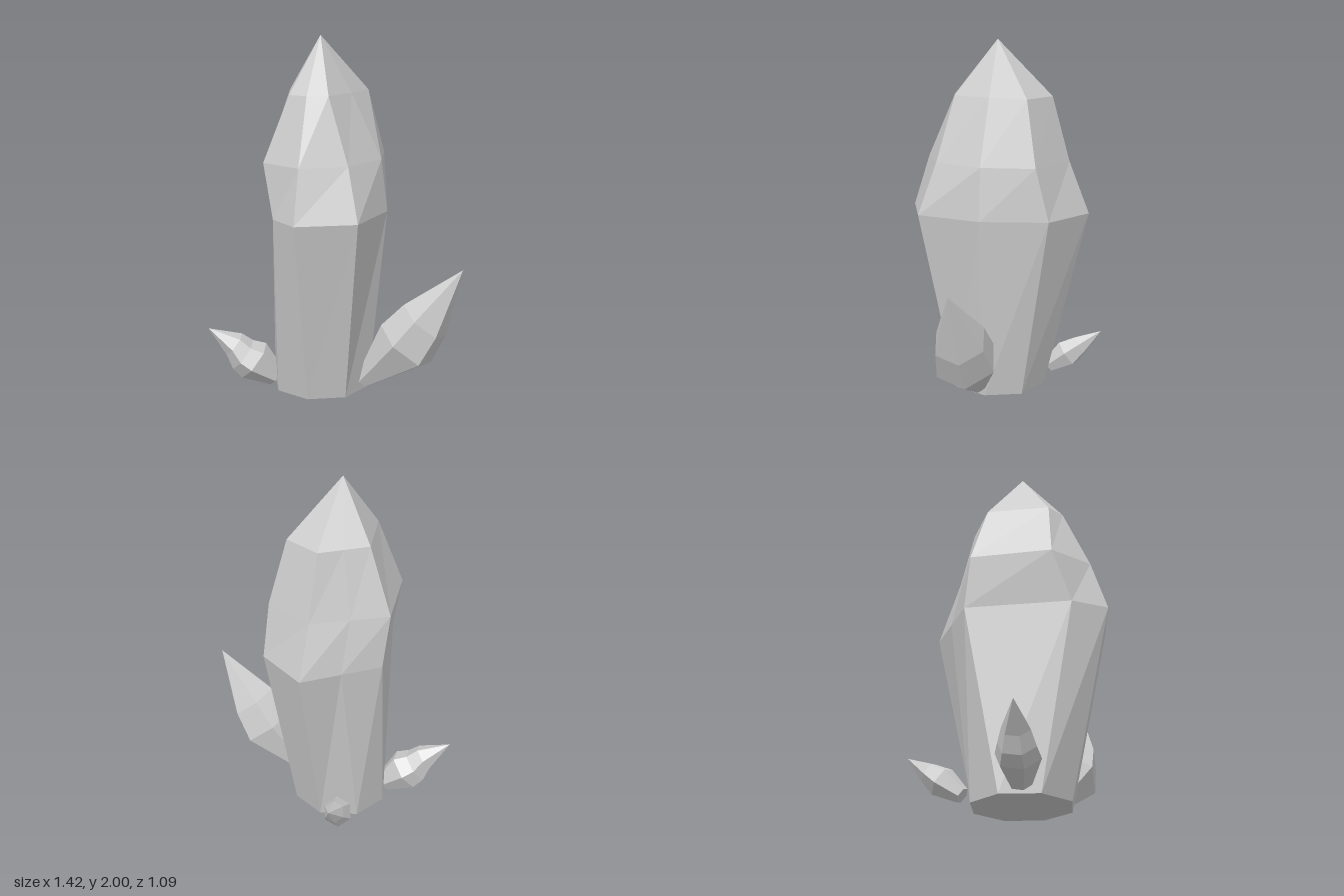
import * as THREE from 'three';

const V = (x, y, z) => new THREE.Vector3(x, y, z);
const material = new THREE.MeshStandardMaterial({ color: 0xcccccc, flatShading: true });

// Faceted crystal: rings of points joined in order, closed by a flat base and a tip
function crystal(name, rings, tip) {
  const pos = [];
  const tri = (...pts) => pts.forEach((p) => pos.push(p.x, p.y, p.z));
  const n = rings[0].length;
  const centre = rings[0].reduce((s, p) => s.add(p), V(0, 0, 0)).divideScalar(n);
  for (let i = 0; i < n; i++) {
    const j = (i + 1) % n;
    tri(centre, rings[0][j], rings[0][i]);
    for (let k = 0; k < rings.length - 1; k++) {
      const a = rings[k], b = rings[k + 1];
      tri(a[i], a[j], b[j]);
      tri(a[i], b[j], b[i]);
    }
    const top = rings[rings.length - 1];
    tri(top[i], top[j], tip);
  }
  const geometry = new THREE.BufferGeometry();
  geometry.setAttribute('position', new THREE.Float32BufferAttribute(pos, 3));
  geometry.computeVertexNormals();
  const mesh = new THREE.Mesh(geometry, material);
  mesh.name = name;
  return mesh;
}

// Leaning six-sided crystal; each profile entry is [fraction along axis, radius, shift to the underside]
function shard(name, base, tip, profile, phase) {
  const axis = tip.clone().sub(base);
  const dir = axis.clone().normalize();
  const under = V(0, -1, 0).addScaledVector(dir, dir.y).normalize();
  const side = dir.clone().cross(under);
  const rings = profile.map(([t, r, shift]) =>
    Array.from({ length: 6 }, (_, i) => {
      const a = phase + (i * Math.PI) / 3;
      return base.clone().addScaledVector(axis, t)
        .addScaledVector(under, r * Math.cos(a) + shift)
        .addScaledVector(side, r * Math.sin(a));
    }));
  return crystal(name, rings, tip);
}

export function createModel() {
  const group = new THREE.Group();
  group.name = 'crystalCluster';

  // Main crystal: regular octagon foot, then irregular rings of [x, z],
  // running front, front +x, +x, back +x, back, back -x, -x, front -x
  const foot = Array.from({ length: 8 }, (_, i) => {
    const a = (i * Math.PI) / 4;
    return V(-0.11 + 0.28 * Math.sin(a), 0, 0.035 + 0.28 * Math.cos(a));
  });
  const levels = [
    [1.04, [[-0.11, 0.545], [0.2, 0.41], [0.275, 0.03], [0.19, -0.335], [-0.11, -0.495], [-0.273, -0.326], [-0.436, -0.157], [-0.27, 0.4]]],
    [1.33, [[-0.11, 0.45], [0.125, 0.325], [0.24, 0.035], [0.19, -0.26], [-0.11, -0.38], [-0.283, -0.248], [-0.457, -0.115], [-0.347, 0.32]]],
    [1.69, [[-0.11, 0.29], [0, 0.255], [0.07, 0.035], [0.112, -0.19], [-0.11, -0.28], [-0.215, -0.183], [-0.32, -0.085], [-0.22, 0.25]]],
  ];
  const rings = levels.map(([y, pts]) => pts.map(([x, z]) => V(x, y, z)));
  group.add(crystal('mainCrystal', [foot, ...rings], V(-0.105, 2, 0.035)));

  // Small crystals leaning out of the foot
  group.add(shard('largeSideCrystal', V(0.15, 0.045, 0.08), V(0.71, 0.74, 0.065),
    [[0, 0.045, 0], [0.39, 0.18, 0.04], [0.59, 0.15, 0.03]], 0.2));
  group.add(shard('smallSideCrystal', V(-0.35, 0.05, 0.14), V(-0.71, 0.35, 0.27),
    [[0, 0.06, 0], [0.33, 0.12, 0], [0.48, 0.1, 0.01], [0.64, 0.075, -0.01]], 0.3));
  group.add(shard('backCrystal', V(-0.25, 0.06, -0.24), V(-0.305, 0.285, -0.545),
    [[0, 0.045, 0], [0.36, 0.085, 0], [0.6, 0.06, 0]], 0.2));

  return group;
}
